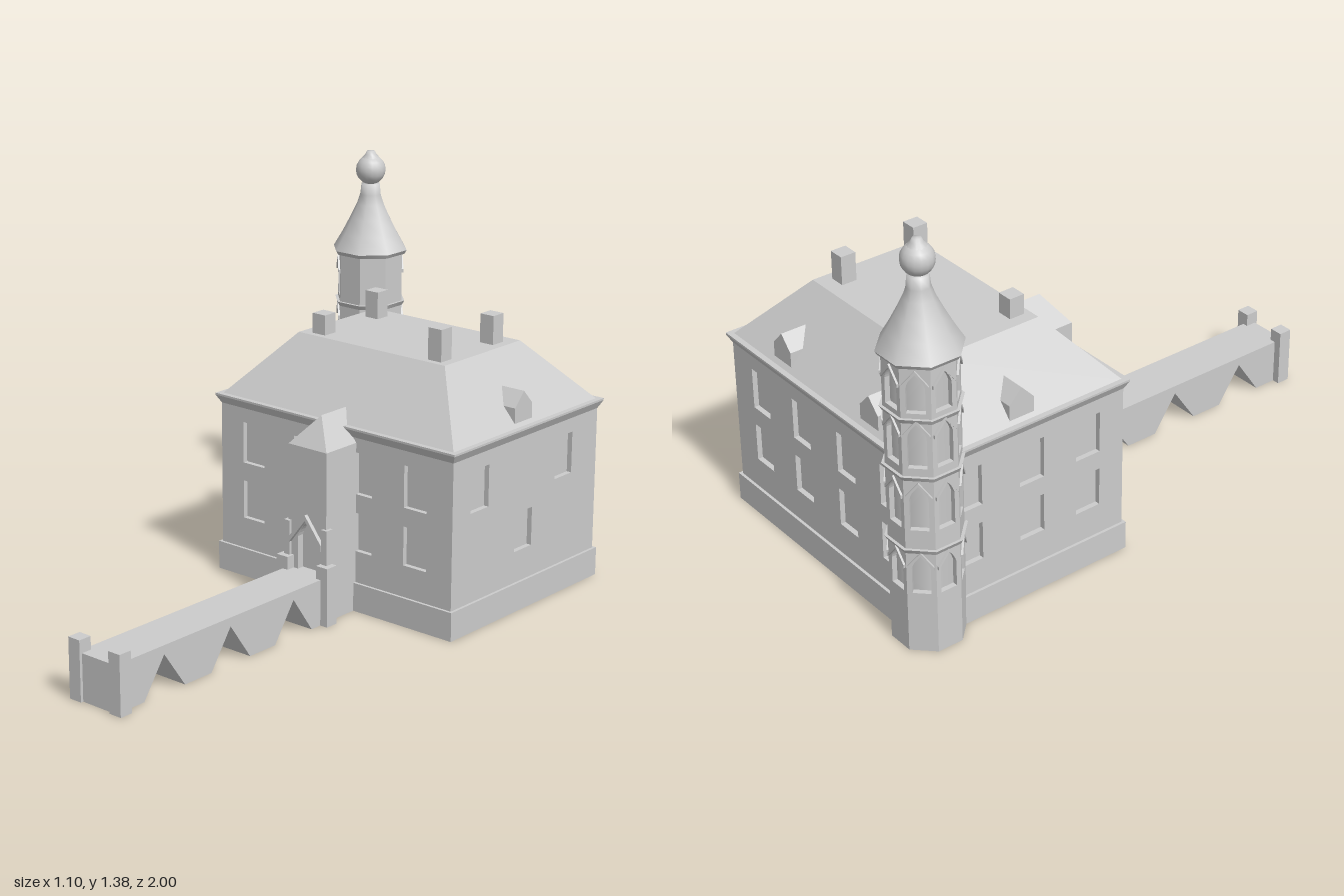
import * as THREE from 'three';
import { ConvexGeometry } from 'three/addons/geometries/ConvexGeometry.js';

const material = new THREE.MeshStandardMaterial({ color: 0xcccccc });
const V = (x, y, z) => new THREE.Vector3(x, y, z);

function add(parent, name, geometry, x = 0, y = 0, z = 0, turn = 0) {
  const mesh = new THREE.Mesh(geometry, material);
  mesh.name = name;
  mesh.position.set(x, y, z);
  mesh.rotation.y = turn;
  parent.add(mesh);
  return mesh;
}

// Box given by its limits
function block(parent, name, x0, x1, y0, y1, z0, z1) {
  return add(parent, name, new THREE.BoxGeometry(x1 - x0, y1 - y0, z1 - z0),
    (x0 + x1) / 2, (y0 + y1) / 2, (z0 + z1) / 2);
}

// Solid between two horizontal rectangles [x0, x1, z0, z1]
function frustum(parent, name, low, y0, high, y1) {
  const pts = [];
  for (const [r, y] of [[low, y0], [high, y1]])
    for (const x of [r[0], r[1]]) for (const z of [r[2], r[3]]) pts.push(V(x, y, z));
  return add(parent, name, new ConvexGeometry(pts));
}

const polygon = pts => new THREE.Shape(pts.map(p => new THREE.Vector2(p[0], p[1])));
const rect = (x0, x1, y0, y1) => polygon([[x0, y0], [x1, y0], [x1, y1], [x0, y1]]);
const extrude = (shape, depth) => new THREE.ExtrudeGeometry(shape, { depth, bevelEnabled: false, curveSegments: 5 });

// Pointed arch opening
function arch(w, y0, y1, rise) {
  const s = new THREE.Shape();
  s.moveTo(-w / 2, y0);
  s.lineTo(w / 2, y0);
  s.lineTo(w / 2, y1 - rise);
  s.quadraticCurveTo(w * 0.4, y1 - rise * 0.5, 0, y1);
  s.quadraticCurveTo(-w * 0.4, y1 - rise * 0.5, -w / 2, y1 - rise);
  return s;
}

// Chevron moulding over an arch
const chevron = (w, foot, peak, t, depth) => extrude(polygon([
  [-w / 2, foot], [0, peak - t], [w / 2, foot], [w / 2, foot + t], [0, peak], [-w / 2, foot + t]]), depth);

// Wall slab with holes; its outer face lies on the local z = 0 plane
function wall(parent, name, outline, holes, thick, x, z, turn) {
  outline.holes.push(...holes);
  const g = extrude(outline, thick);
  g.translate(0, 0, -thick);
  return add(parent, name, g, x, 0, z, turn);
}

function buildHouse() {
  const house = new THREE.Group();
  house.name = 'house';
  const X0 = -0.47, X1 = 0.535, Z0 = -0.93, Z1 = -0.135;
  const cx = (X0 + X1) / 2, cz = (Z0 + Z1) / 2, hw = (X1 - X0) / 2, hd = (Z1 - Z0) / 2;
  block(house, 'plinth', -0.48, 0.545, 0, 0.1, -0.94, -0.125);
  block(house, 'houseCore', X0 + 0.018, X1 - 0.018, 0.08, 0.635, Z0 + 0.018, Z1 - 0.018);

  // Walls with recessed windows
  const LOW = [0.21, 0.345], HIGH = [0.41, 0.555];
  const win = (c, [y0, y1]) => rect(c - 0.0475, c + 0.0475, y0, y1);
  const cols = [-0.3225, -0.0925, 0.1525, 0.3825];
  const grid = list => list.flatMap(c => [win(c, LOW), win(c, HIGH)]);
  const slab = h => rect(-h, h, 0.1, 0.635);
  wall(house, 'frontWall', slab(hw), grid(cols.map(c => c - cx)), 0.02, cx, Z1, 0);
  wall(house, 'backWall', slab(hw), grid(cols.map(c => cx - c)), 0.02, cx, Z0, Math.PI);
  wall(house, 'rightWall', slab(hd), [win(cz + 0.277, HIGH), win(cz + 0.74, HIGH), win(cz + 0.52, LOW)],
    0.02, X1, cz, Math.PI / 2);
  wall(house, 'leftWall', slab(hd), grid([-0.277, -0.5, -0.74].map(z => z - cz)), 0.02, X0, cz, -Math.PI / 2);

  // Cornice and hipped roof with a flat top
  const eave = [-0.485, 0.55, -0.945, -0.12];
  frustum(house, 'cornice', [X0, X1, Z0, Z1], 0.605, eave, 0.633);
  frustum(house, 'eave', eave, 0.633, eave, 0.64);
  frustum(house, 'roof', [X0, X1, Z0, Z1], 0.635, [-0.285, 0.345, -0.735, -0.325], 0.85);

  // Chimneys
  for (const [x, z, top] of [[-0.215, -0.375, 0.92], [-0.215, -0.655, 0.945], [0.285, -0.375, 0.96], [0.285, -0.655, 0.95]])
    block(house, 'chimney', x - 0.0275, x + 0.0275, 0.84, top, z - 0.0275, z + 0.0275);

  // Dormers
  const dormer = new ConvexGeometry([V(0, 0.755, 0), V(0, 0.755, -0.095),
    ...[-0.047, 0.047].flatMap(x => [V(x, 0.652, 0), V(x, 0.705, 0), V(x, 0.705, -0.05)])]);
  add(house, 'dormer', dormer, 0.52, 0, -0.525, Math.PI / 2);
  add(house, 'dormer', dormer, -0.455, 0, -0.525, -Math.PI / 2);
  for (const x of [-0.205, 0.265]) add(house, 'dormer', dormer, x, 0, -0.913, Math.PI);
  return house;
}

function buildGatehouse() {
  const gate = new THREE.Group();
  gate.name = 'gatehouse';
  gate.position.x = 0.05;
  const w = 0.082, front = 0.015;
  block(gate, 'gatehouseCore', -w, w, 0, 0.4, -0.15, -0.01);
  wall(gate, 'doorWall', rect(-w, w, 0, 0.4), [arch(0.08, 0.16, 0.335, 0.06)], 0.025, 0, front, 0);
  // Upper storey with hipped front gable
  add(gate, 'gatehouseTop', new ConvexGeometry([V(0, 0.685, -0.055), V(0, 0.685, -0.19),
    ...[-w, w].flatMap(x => [0.4, 0.588].flatMap(y => [V(x, y, front), V(x, y, -0.15)]))]));
  add(gate, 'doorHood', chevron(0.14, 0.25, 0.36, 0.02, 0.014), 0, 0, front);
  for (const s of [-1, 1])
    block(gate, 'doorPier', s * 0.081 - 0.012, s * 0.081 + 0.012, 0, 0.325, -0.005, 0.026);
  return gate;
}

function buildBridge() {
  const bridge = new THREE.Group();
  bridge.name = 'bridge';
  // Side outline with three triangular openings
  const pts = [[0.01, 0.16], [0.01, 0]];
  for (const c of [0.18, 0.48, 0.78]) pts.push([c - 0.09, 0], [c, 0.13], [c + 0.09, 0]);
  pts.push([0.99, 0], [0.99, 0.16]);
  const g = extrude(polygon(pts), 0.165);
  g.rotateY(-Math.PI / 2);
  add(bridge, 'bridgeDeck', g, 0.135);
  for (const x of [-0.0325, 0.14])
    for (const z of [0.023, 0.976]) block(bridge, 'bridgePost', x - 0.024, x + 0.024, 0, 0.205, z - 0.024, z + 0.024);
  return bridge;
}

function buildTower() {
  const tower = new THREE.Group();
  tower.name = 'tower';
  tower.position.set(-0.427, 0, -0.873);
  const a = 0.11, half = a * Math.tan(Math.PI / 8), corner = r => r / Math.cos(Math.PI / 8);
  const ring = (name, r, r2, y0, y1) => add(tower, name,
    new THREE.CylinderGeometry(corner(r2), corner(r), y1 - y0, 8).toNonIndexed(), 0, (y0 + y1) / 2, 0, Math.PI / 8);
  ring('towerCore', a - 0.018, a - 0.018, 0, 1.02);

  // Eight sides; the five outer ones carry arched windows with hoods
  const storeys = [[0.215, 0.355], [0.445, 0.605], [0.665, 0.822], [0.855, 0.99]];
  for (let k = 0; k < 8; k++) {
    const t = k * Math.PI / 4, outer = k >= 3 && k <= 7;
    const x = Math.sin(t) * a, z = Math.cos(t) * a;
    wall(tower, 'towerSide', rect(-half, half, 0, 1.02),
      outer ? storeys.map(([y0, y1]) => arch(0.058, y0, y1, 0.05)) : [], 0.02, x, z, t);
    if (outer) for (const [, y1] of storeys)
      add(tower, 'windowHood', chevron(0.082, y1 - 0.05, y1 + 0.012, 0.012, 0.007), x, 0, z, t);
  }
  for (const y of [0.37, 0.63, 0.83]) ring('towerBand', 0.112, 0.12, y - 0.008, y + 0.008);
  ring('capEave', 0.118, 0.126, 1.01, 1.024);

  // Curved spire, then ball and tip
  const lathe = (name, pts, n) => add(tower, name,
    new THREE.LatheGeometry(pts.map(p => new THREE.Vector2(p[0], p[1])), n), 0, 0, 0, Math.PI / 8);
  lathe('spire', [[0.136, 1.024], [0.103, 1.08], [0.074, 1.135], [0.05, 1.185], [0.038, 1.22], [0.034, 1.258], [0, 1.26]], 8);
  const ball = new THREE.SphereGeometry(0.053, 16, 10);
  add(tower, 'ball', ball, 0, 1.308, 0);
  lathe('finialTip', [[0.032, 1.35], [0.02, 1.363], [0.014, 1.375], [0, 1.376]], 12);
  return tower;
}

export function createModel() {
  const model = new THREE.Group();
  model.name = 'castle';
  model.add(buildHouse(), buildGatehouse(), buildBridge(), buildTower());
  return model;
}
